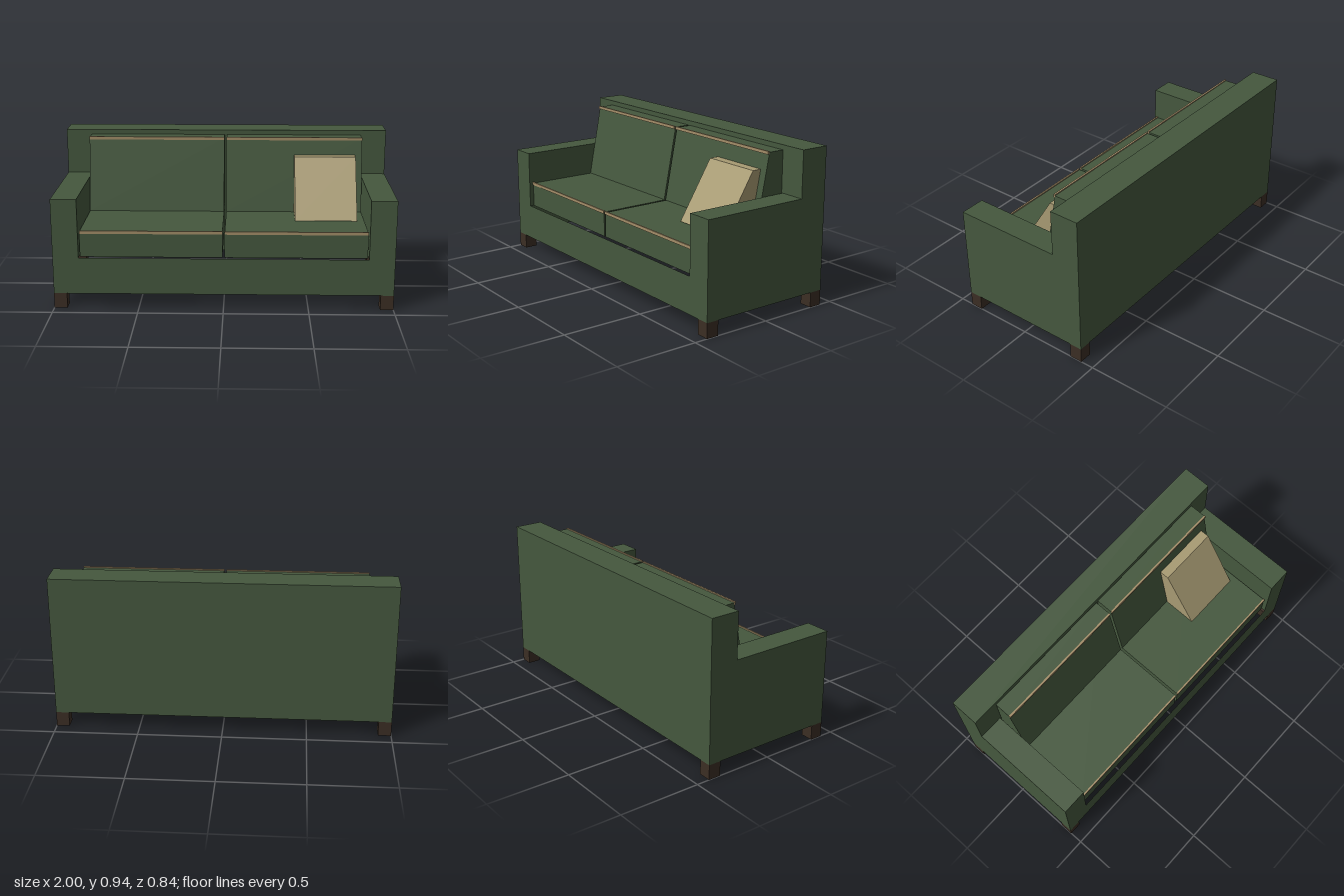
import * as THREE from 'three';

export function createModel() {
  const sofa = new THREE.Group();
  sofa.name = 'sofa';

  const makeMat = (name, color) => {
    const m = new THREE.MeshStandardMaterial({ color, side: THREE.DoubleSide });
    m.name = name;
    return m;
  };
  const green = makeMat('greenFabric', 0x45583e);
  const piping = makeMat('tanPiping', 0xa38d68);
  const beige = makeMat('beigePillow', 0xa89b73);
  const wood = makeMat('darkWood', 0x3b2e24);

  const add = (name, geometry, material) => {
    const mesh = new THREE.Mesh(geometry, material);
    mesh.name = name;
    sofa.add(mesh);
    return mesh;
  };
  const shapeOf = (pts) => new THREE.Shape(pts.map(([a, b]) => new THREE.Vector2(a, b)));
  const box = (name, x0, x1, y0, y1, z0, z1, material) => {
    const g = new THREE.BoxGeometry(x1 - x0, y1 - y0, z1 - z0);
    g.translate((x0 + x1) / 2, (y0 + y1) / 2, (z0 + z1) / 2);
    return add(name, g, material);
  };
  // Prism with a (z, y) profile running from x0 to x1
  const prism = (name, pts, x0, x1, material) => {
    const g = new THREE.ExtrudeGeometry(shapeOf(pts), { depth: x1 - x0, bevelEnabled: false });
    g.rotateY(-Math.PI / 2).translate(x1, 0, 0);
    return add(name, g, material);
  };
  // Flat panel in the plane x = const, facing the sign of dir
  const sidePanel = (name, pts, x, dir) => {
    const g = new THREE.ShapeGeometry(shapeOf(pts.map(([z, y]) => [-dir * z, y])));
    g.rotateY(dir * Math.PI / 2).translate(x, 0, 0);
    add(name, g, green);
  };
  const topPanel = (name, x0, x1, z0, z1, y) => {
    const g = new THREE.PlaneGeometry(x1 - x0, z1 - z0).rotateX(-Math.PI / 2);
    g.translate((x0 + x1) / 2, y, (z0 + z1) / 2);
    add(name, g, green);
  };

  // Main measures
  const bottom = 0.09, rail = 0.31, armTop = 0.663, top = 0.94;
  const inner = 0.848, front = 0.42, back = -0.42, rest = -0.243;
  const seatTop = 0.462, seatFront = 0.396;

  // Hollow frame, open underneath: arm fronts and front rail in one panel
  add('frontPanel', new THREE.ShapeGeometry(shapeOf([
    [-1, bottom], [1, bottom], [1, armTop], [inner, armTop], [inner, rail],
    [-inner, rail], [-inner, armTop], [-1, armTop],
  ])).translate(0, 0, front), green);

  // Backrest
  add('backPanel', new THREE.PlaneGeometry(2, top - bottom).rotateY(Math.PI)
    .translate(0, (top + bottom) / 2, back), green);
  add('backrestFront', new THREE.ShapeGeometry(shapeOf([
    [-inner, rail], [inner, rail], [inner, armTop], [1, armTop],
    [1, top], [-1, top], [-1, armTop], [-inner, armTop],
  ])).translate(0, 0, rest), green);
  topPanel('backrestTop', -1, 1, back, rest, top);

  for (const s of [-1, 1]) {
    const side = s > 0 ? 'left' : 'right';

    // Arms
    sidePanel(side + 'ArmOuter', [
      [back, bottom], [front, bottom], [front, armTop], [rest, armTop], [rest, top], [back, top],
    ], s, s);
    sidePanel(side + 'ArmInner', [
      [rest, rail], [front, rail], [front, armTop], [rest, armTop],
    ], s * inner, -s);
    topPanel(side + 'ArmTop', Math.min(s, s * inner), Math.max(s, s * inner), rest, front, armTop);

    // Legs
    for (const [end, z0] of [['Front', front - 0.077], ['Back', back]]) {
      const x0 = s > 0 ? 0.923 : -1;
      box(side + end + 'Leg', x0, x0 + 0.077, 0, bottom, z0, z0 + 0.077, wood);
    }

    // Seat cushion, open underneath
    const x0 = s > 0 ? 0.007 : -0.842, x1 = x0 + 0.835;
    const seat = box(side + 'SeatCushion', x0, x1, rail, seatTop, rest + 0.003, seatFront, green);
    const index = Array.from(seat.geometry.index.array);
    index.splice(18, 6);
    seat.geometry.setIndex(index);
    seat.geometry.clearGroups();

    // Leaning back cushion
    prism(side + 'BackCushion', [
      [rest + 0.003, seatTop + 0.002], [-0.052, seatTop + 0.002], [-0.139, 0.912], [rest + 0.003, 0.912],
    ], x0, x1, green);

    // Piping along the cushion edges
    box(side + 'SeatPiping', x0, x1, 0.452, 0.47, 0.391, 0.401, piping);
    box(side + 'BackPiping', x0, x1, 0.9, 0.918, -0.139, -0.128, piping);
  }

  // Throw pillow leaning in the corner
  prism('throwPillow', [
    [-0.048, 0.466], [0.155, 0.466], [-0.06, 0.811], [-0.117, 0.811],
  ], 0.425, 0.798, beige);

  return sofa;
}
